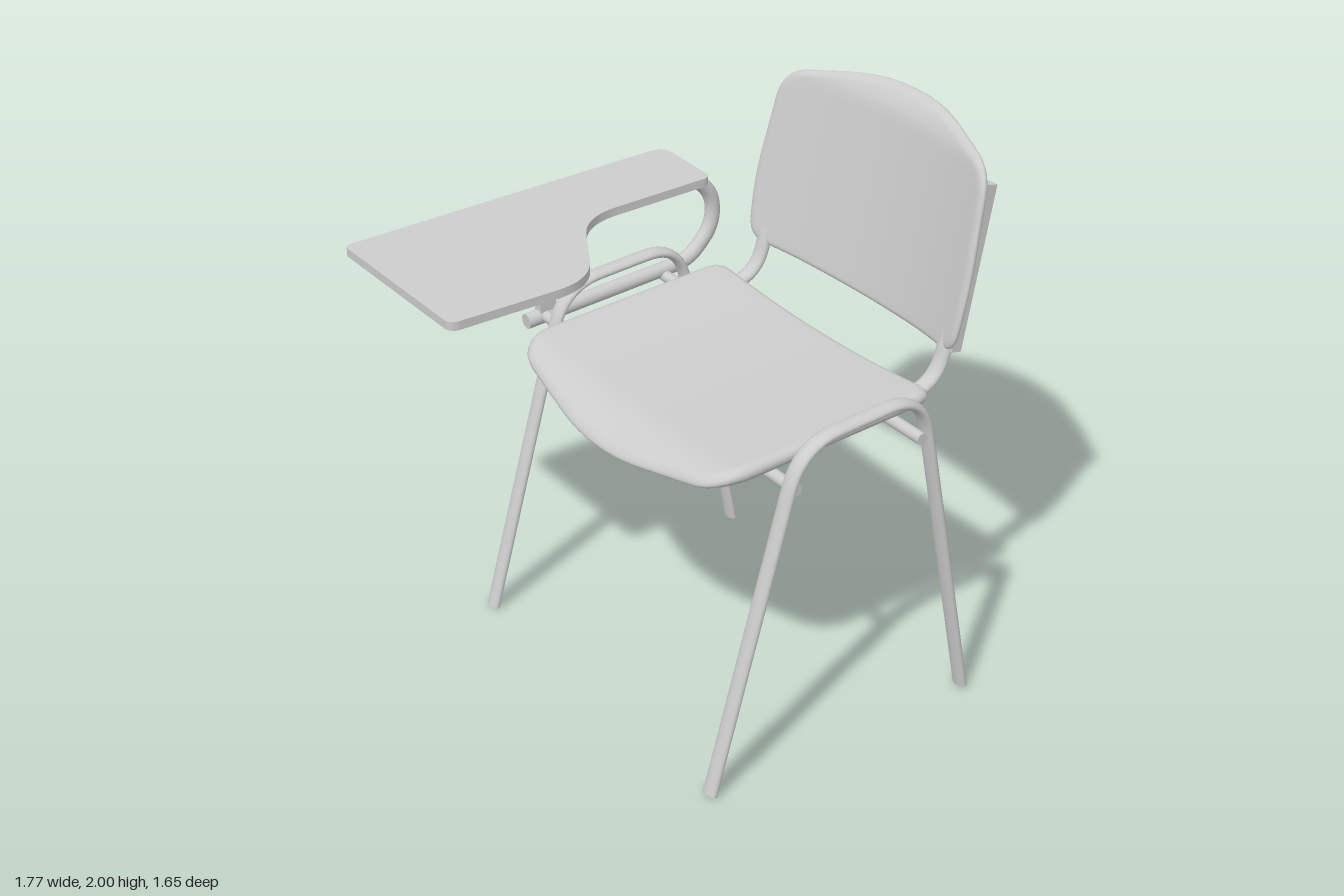
import * as THREE from 'three';
import { mergeGeometries } from 'three/addons/utils/BufferGeometryUtils.js';

const grey = new THREE.MeshStandardMaterial({ color: 0xcccccc });
const MID = 0.095; // z of the seat's centre line

function add(parent, name, geometry) {
  const mesh = new THREE.Mesh(geometry, grey);
  mesh.name = name;
  parent.add(mesh);
  return mesh;
}

// Closed outline from corners [x, y, cut], each corner rounded by its cut length
function roundedShape(corners) {
  const shape = new THREE.Shape();
  const n = corners.length;
  const pts = corners.map(c => new THREE.Vector2(c[0], c[1]));
  const toward = (a, b, d) => a.clone().add(b.clone().sub(a).setLength(d));
  pts.forEach((p, i) => {
    const a = toward(p, pts[(i + n - 1) % n], corners[i][2]);
    const b = toward(p, pts[(i + 1) % n], corners[i][2]);
    if (i === 0) shape.moveTo(a.x, a.y); else shape.lineTo(a.x, a.y);
    shape.quadraticCurveTo(p.x, p.y, b.x, b.y);
  });
  shape.closePath();
  return shape;
}

// Capped tube along a bent line in the xy plane; flat = depth in z relative to thickness
function bentTube(points, cut, radius, flat = 1) {
  const p = points.map(([x, y]) => new THREE.Vector3(x, y, 0));
  const path = new THREE.CurvePath();
  let from = p[0];
  for (let i = 1; i < p.length - 1; i++) {
    const a = p[i].clone().add(p[i - 1].clone().sub(p[i]).setLength(cut));
    const b = p[i].clone().add(p[i + 1].clone().sub(p[i]).setLength(cut));
    path.add(new THREE.LineCurve3(from, a));
    path.add(new THREE.QuadraticBezierCurve3(a, p[i], b));
    from = b;
  }
  path.add(new THREE.LineCurve3(from, p[p.length - 1]));
  const parts = [new THREE.TubeGeometry(path, 120, radius, 16)];
  for (const t of [0, 1]) {
    const out = path.getTangentAt(t).multiplyScalar(t ? 1 : -1);
    const cap = new THREE.CircleGeometry(radius, 16);
    cap.applyQuaternion(new THREE.Quaternion().setFromUnitVectors(new THREE.Vector3(0, 0, 1), out));
    const end = path.getPointAt(t);
    cap.translate(end.x, end.y, end.z);
    parts.push(cap);
  }
  return mergeGeometries(parts).scale(1, 1, flat);
}

// Soft-edged pad: rings of the outline run over the top, round the rim and under;
// place(p, q, h) bends each point into its final position
function pad(outline, half, place) {
  const pts = outline.getSpacedPoints(120).slice(0, -1);
  const n = pts.length, rings = [], rim = 0.94;
  for (let j = 0; j <= 12; j++) rings.push([rim * j / 12, half]);
  for (let j = 1; j < 8; j++) {
    const a = Math.PI * j / 8;
    rings.push([rim + (1 - rim) * Math.sin(a), half * Math.cos(a)]);
  }
  for (let j = 12; j >= 0; j--) rings.push([rim * j / 12, -half]);
  const pos = [], index = [];
  rings.forEach(([r, h], j) => pts.forEach((p, i) => {
    pos.push(...place(p.x * r, p.y * r, h));
    if (j === rings.length - 1) return;
    const a = j * n + i, d = j * n + (i + 1) % n;
    index.push(a, d + n, a + n, a, d, d + n);
  }));
  const g = new THREE.BufferGeometry();
  g.setAttribute('position', new THREE.Float32BufferAttribute(pos, 3));
  g.setIndex(index);
  g.computeVertexNormals();
  return g;
}

export function createModel() {
  const chair = new THREE.Group();
  chair.name = 'tabletArmChair';

  // Seat: dished across, with a lip curling down at the front (-x)
  const seatOutline = roundedShape([
    [0.5, -0.61, 0.06], [0.5, 0.61, 0.06], [-0.385, 0.61, 0.13],
    [-0.465, 0.12, 0.11], [-0.465, -0.12, 0.11], [-0.385, -0.61, 0.13],
  ]);
  add(chair, 'seat', pad(seatOutline, 0.03, (x, z, h) => {
    const lip = Math.max(0, -0.3 - x);
    const dip = 0.036 * (1 - (z / 0.61) ** 2);
    return [x, 1.155 + 0.06 * x - dip - 2 * lip * lip + h * (1 - 2.5 * lip), z + 0.1];
  }));

  // Backrest: leaning back, curved round the sitter, top edge rolled backwards
  const side = [[0.575, -0.335, 0.08], [0.592, -0.1, 0.1], [0.555, 0.3, 0.1], [0.17, 0.378, 0.14]];
  const backOutline = roundedShape([
    [0, -0.375, 0.3], ...side, ...side.map(([z, y, c]) => [-z, y, c]).reverse(),
  ]);
  add(chair, 'backrest', pad(backOutline, 0.018, (p, q, h) => {
    const y = q + 1.62, roll = Math.max(0, y - 1.91);
    return [0.69 + 0.2 * (y - 1.25) - 0.09 * (p / 0.58) ** 2 + 5 * roll * roll + h, y, p + MID];
  }));

  // Oval leg frames, one on each side
  for (const [name, z] of [['rightLegFrame', 0.79], ['leftLegFrame', -0.6]]) {
    const legs = [[-0.478, 0.006], [-0.13, 1.24], [0.372, 1.275], [0.625, 0.006]];
    add(chair, name, bentTube(legs, 0.15, 0.018, 1.8)).position.z = z;
  }

  // Back supports running under the seat, with sleeves behind the backrest
  for (const s of [-1, 1]) {
    const z = MID + s * 0.51;
    const rail = [[-0.23, 1.105], [0.59, 1.155], [0.66, 1.4]];
    add(chair, 'backSupport', bentTube(rail, 0.11, 0.021, 1.55)).position.z = z;
    const sleeve = add(chair, 'supportSleeve', new THREE.BoxGeometry(0.045, 0.6, 0.075));
    sleeve.position.set(0.706, 1.57, z);
    sleeve.rotation.z = -Math.atan(0.2);
  }

  // Cross bars joining the leg frames and carrying the arm
  for (const [x, y] of [[-0.155, 1.095], [0.37, 1.108]]) {
    const bar = add(chair, 'crossBar', new THREE.CylinderGeometry(0.022, 0.022, 1.52, 16));
    bar.rotation.x = Math.PI / 2;
    bar.position.set(x, y, 0.05);
  }

  // Looped arm tube with its post
  const loop = [[-0.45, 1.447], [0.49, 1.485], [0.6, 1.38], [0.6, 1.25], [0.49, 1.135], [-0.23, 1.087]];
  add(chair, 'armTube', bentTube(loop, 0.064, 0.029)).position.z = -0.7;
  const post = add(chair, 'armPost', new THREE.BoxGeometry(0.065, 0.37, 0.04));
  post.position.set(-0.147, 1.275, -0.7);

  // Writing tablet with flat brackets below, tilted slightly up to the rear
  const tablet = new THREE.Group();
  tablet.name = 'writingTablet';
  tablet.position.y = 1.545;
  tablet.rotation.z = 0.015;
  chair.add(tablet);
  const board = roundedShape([
    [-0.885, -0.808, 0.03], [0.468, -0.83, 0.06], [0.458, -0.51, 0.04],
    [-0.1, -0.5, 0.14], [-0.34, -0.085, 0.14], [-0.885, -0.095, 0.04],
  ]);
  add(tablet, 'board', new THREE.ExtrudeGeometry(board, {
    depth: 0.032, bevelEnabled: false, curveSegments: 16,
  }).rotateX(Math.PI / 2));
  const strips = [[-0.05, -0.7, 0.8, 0.05], [-0.36, -0.56, 0.64, 0.04], [-0.66, -0.45, 0.04, 0.25], [-0.42, -0.45, 0.04, 0.5]];
  for (const [x, z, w, d] of strips) {
    add(tablet, 'bracketStrip', new THREE.BoxGeometry(w, 0.02, d)).position.set(x, -0.04, z);
  }
  return chair;
}
